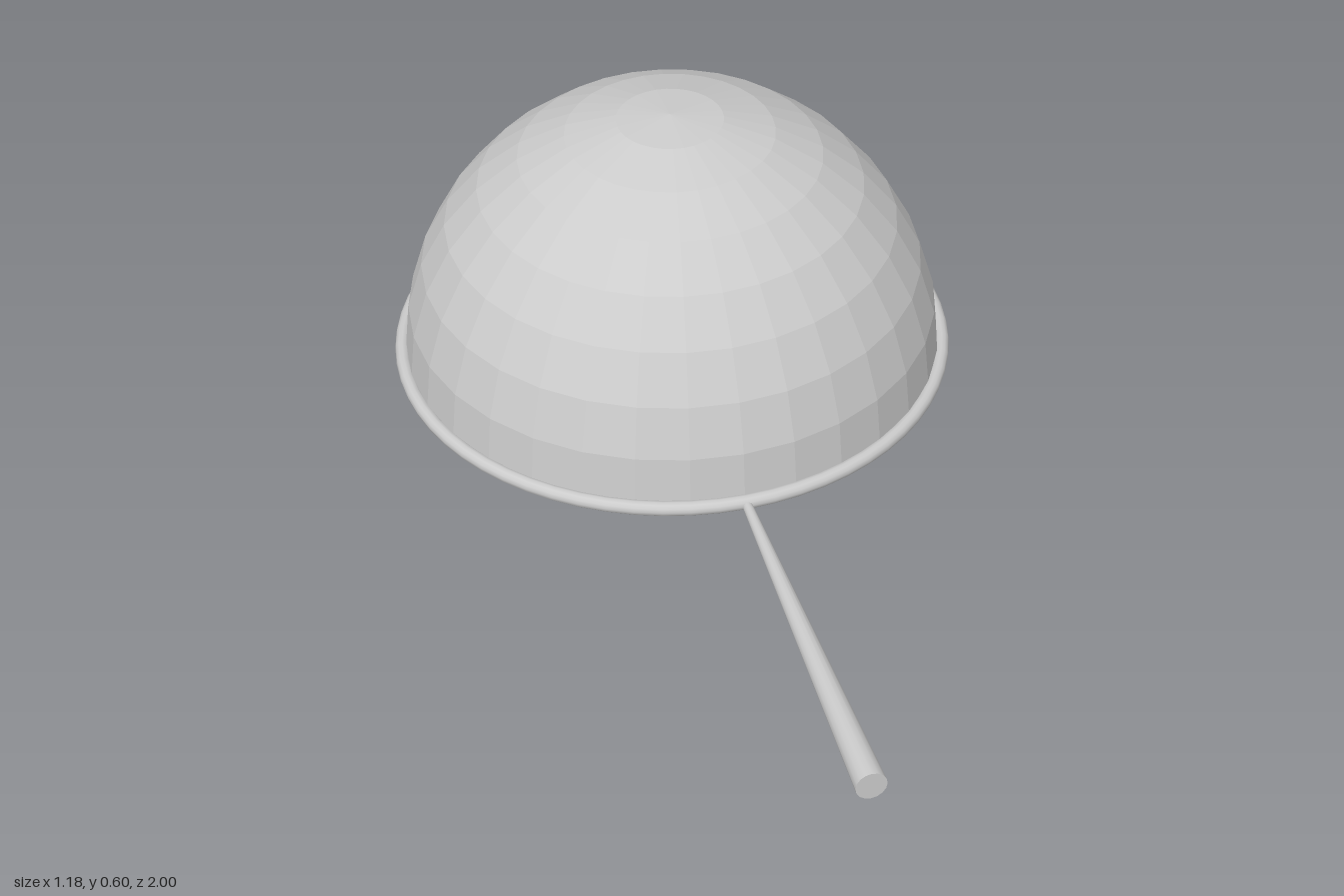
import * as THREE from 'three';

const CENTER_Y = 0.032;
const BOWL_Z = -0.41;

export function createModel() {
  const model = new THREE.Group();
  const add = (name, geometry, options = {}) => {
    const material = new THREE.MeshStandardMaterial({ color: 0xcccccc, ...options });
    const mesh = new THREE.Mesh(geometry, material);
    mesh.name = name;
    model.add(mesh);
    return mesh;
  };

  // Thin faceted bowl, turned upside down and open below
  const bowl = add(
    'bowl',
    new THREE.SphereGeometry(0.568, 32, 8, 0, Math.PI * 2, 0, Math.PI / 2),
    { flatShading: true, side: THREE.DoubleSide }
  );
  bowl.position.set(0, CENTER_Y, BOWL_Z);

  // Rounded wire rim around the opening
  const rim = add('rim', new THREE.TorusGeometry(0.575, 0.0155, 12, 64).rotateX(Math.PI / 2));
  rim.position.set(0, CENTER_Y + 0.002, BOWL_Z);

  // Tapered handle, widening toward its free end
  const start = 0.165, end = 1;
  const handle = add(
    'handle',
    new THREE.CylinderGeometry(0.031, 0.01, end - start, 16).rotateX(Math.PI / 2)
  );
  handle.position.set(0, CENTER_Y, (start + end) / 2);

  return model;
}
